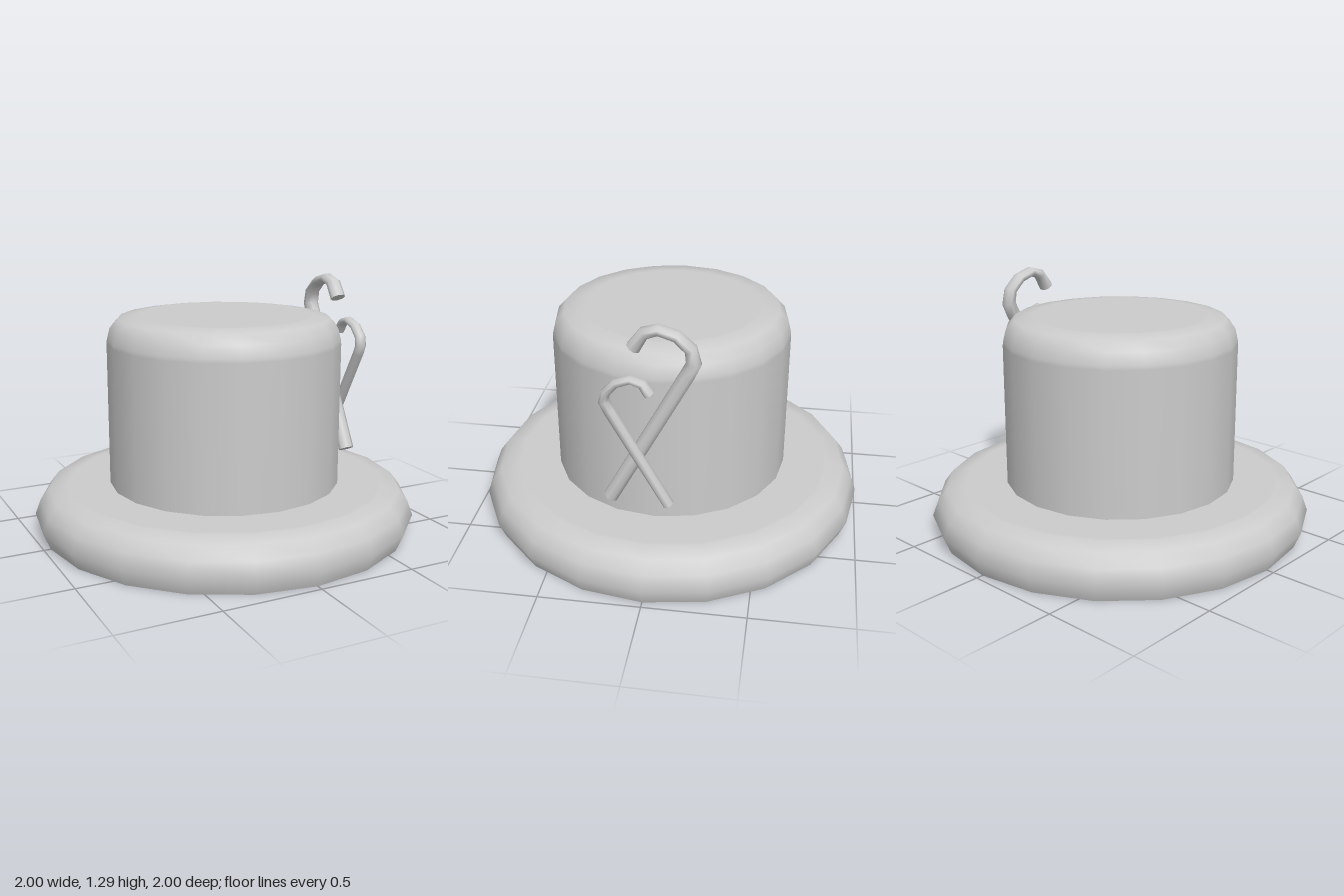
import * as THREE from 'three';

const SIDES = 20;
const grey = () => new THREE.MeshStandardMaterial({ color: 0xcccccc });

function addMesh(parent, name, geometry) {
  const mesh = new THREE.Mesh(geometry, grey());
  mesh.name = name;
  parent.add(mesh);
  return mesh;
}

// Round body from [radius, height] pairs, bottom to top
function turned(profile) {
  return new THREE.LatheGeometry(profile.map(([r, y]) => new THREE.Vector2(r, y)), SIDES);
}

// Faceted rod swept along [z, y] points in the plane x = x0, with closed ends.
// rx is the half width along x; each point's third value is the in-plane half width.
function rod(path, x0, rx, sides = 8) {
  const positions = [], index = [];
  const pts = path.map(([z, y]) => new THREE.Vector3(x0, y, z));
  const rings = pts.map((p, i) => {
    const a = pts[Math.max(i - 1, 0)], b = pts[Math.min(i + 1, pts.length - 1)];
    const before = p.clone().sub(a).normalize(), after = b.clone().sub(p).normalize();
    const t = before.add(after).normalize();
    const ring = [];
    for (let j = 0; j < sides; j++) {
      const ang = ((j + 0.5) / sides) * Math.PI * 2, k = 1 / Math.cos(Math.PI / sides);
      const c = Math.cos(ang) * rx * k, s = Math.sin(ang) * path[i][2] * k;
      ring.push([x0 + c, p.y + t.z * s, p.z - t.y * s]);
    }
    return ring;
  });
  rings.forEach((ring) => ring.forEach((v) => positions.push(...v)));
  for (let i = 0; i < rings.length - 1; i++) {
    for (let j = 0; j < sides; j++) {
      const a = i * sides + j, b = i * sides + ((j + 1) % sides);
      index.push(a, b, b + sides, a, b + sides, a + sides);
    }
  }
  // End caps have their own vertices so their rims stay sharp
  [rings[0].slice().reverse(), rings[rings.length - 1]].forEach((ring) => {
    const base = positions.length / 3;
    ring.forEach((v) => positions.push(...v));
    for (let j = 1; j < sides - 1; j++) index.push(base, base + j, base + j + 1);
  });
  const g = new THREE.BufferGeometry();
  g.setAttribute('position', new THREE.Float32BufferAttribute(positions, 3));
  g.setIndex(index);
  g.computeVertexNormals();
  return g;
}

export function createModel() {
  const model = new THREE.Group();
  model.name = 'hatWithCanes';

  // Wide brim with a rounded edge and flat underside
  const brim = new THREE.Group();
  brim.name = 'brim';
  model.add(brim);
  addMesh(brim, 'brimBody', turned([
    [0.965, 0], [1, 0.085], [0.972, 0.16], [0.925, 0.222], [0.84, 0.24], [0.82, 0.24], [0, 0.24],
  ]));
  const underside = addMesh(brim, 'brimUnderside', new THREE.CircleGeometry(0.965, SIDES));
  underside.rotation.x = Math.PI / 2;

  // Crown with a bevelled top
  addMesh(model, 'crown', turned([
    [0.605, 0.22], [0.605, 0.98], [0.603, 1.0], [0.588, 1.06], [0.545, 1.107],
    [0.46, 1.12], [0.44, 1.12], [0, 1.12],
  ]));

  // Two crossed canes hung on the left side
  addMesh(model, 'largeCane', rod([
    [0.203, 0.368, 0.034], [-0.165, 1.055, 0.034], [-0.194, 1.115, 0.034], [-0.18, 1.185, 0.028],
    [-0.115, 1.245, 0.025], [-0.033, 1.27, 0.024], [0.03, 1.25, 0.027], [0.08, 1.175, 0.033],
  ], 0.641, 0.038));
  addMesh(model, 'smallCane', rod([
    [-0.09, 0.393, 0.024], [0.185, 0.885, 0.024], [0.206, 0.93, 0.024], [0.197, 0.977, 0.021],
    [0.15, 1.027, 0.019], [0.083, 1.05, 0.018], [0.03, 1.032, 0.02], [-0.004, 0.982, 0.024],
  ], 0.711, 0.028));

  return model;
}
